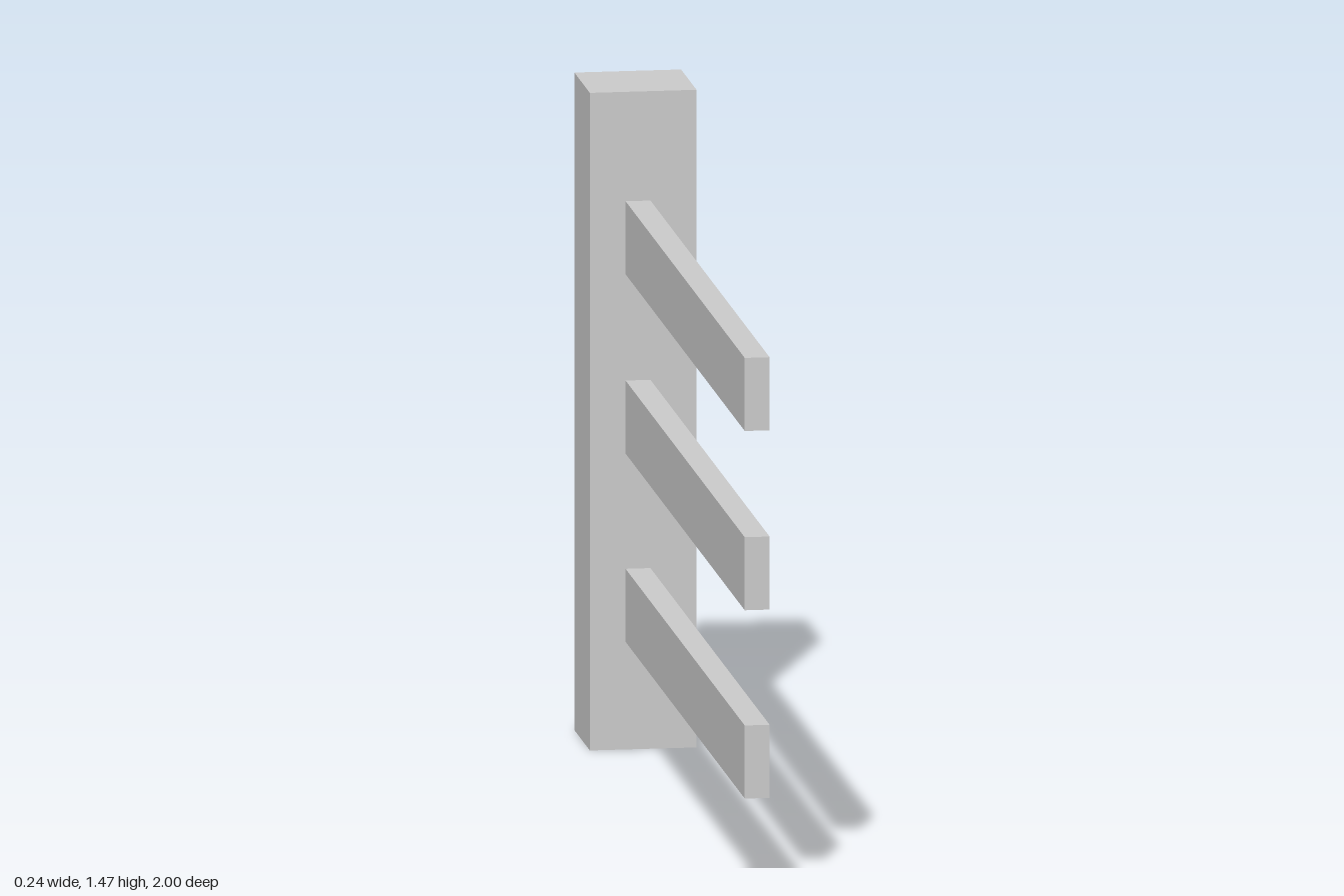
import * as THREE from 'three';

export function createModel() {
  const group = new THREE.Group();
  const material = new THREE.MeshStandardMaterial({ color: 0xcccccc, flatShading: true });

  // Box given by its minimum and maximum corners
  const addBox = (name, min, max) => {
    const size = max.map((v, i) => v - min[i]);
    const mesh = new THREE.Mesh(new THREE.BoxGeometry(...size), material);
    mesh.position.set(...max.map((v, i) => (v + min[i]) / 2));
    mesh.name = name;
    group.add(mesh);
  };

  const postFront = -0.77;

  // Square upright post at the back
  addBox('post', [-0.118, 0, -1], [0.118, 1.467, postFront]);

  // Three rails running forward from the post, slightly off its centre line
  const railHeight = 0.163;
  [['lowerRail', 0.24], ['middleRail', 0.66], ['upperRail', 1.06]].forEach(([name, y]) =>
    addBox(name, [-0.039, y, postFront], [0.016, y + railHeight, 1]));

  return group;
}
